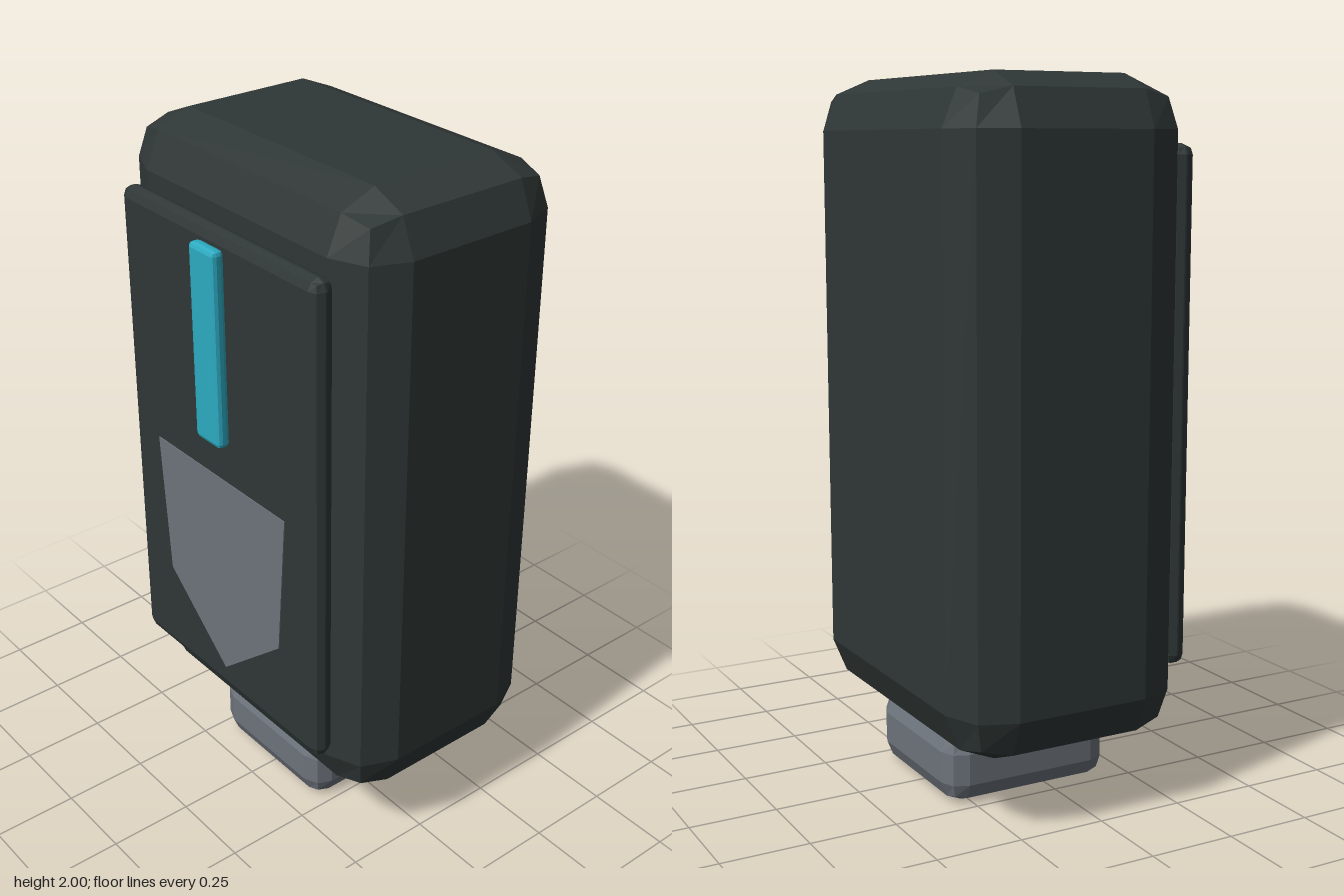
import * as THREE from 'three';
import { RoundedBoxGeometry } from 'three/addons/geometries/RoundedBoxGeometry.js';

const material = (name, color) => {
  const m = new THREE.MeshStandardMaterial({ color });
  m.name = name;
  return m;
};

// Box between two corners with a faceted two-step bevel on every edge
function bevelBox(name, min, max, radius, mat) {
  const size = max.map((v, i) => v - min[i]);
  const geometry = new RoundedBoxGeometry(...size, 1, radius);
  geometry.clearGroups();
  geometry.computeVertexNormals(); // unshared corners give flat facets
  const mesh = new THREE.Mesh(geometry, mat);
  mesh.name = name;
  mesh.position.set(...max.map((v, i) => (v + min[i]) / 2));
  return mesh;
}

export function createModel() {
  const dark = material('dark casing', 0x2f3736);
  const grey = material('grey metal', 0x6d737b);
  const cyan = material('cyan light', 0x2dabc2);

  const model = new THREE.Group();
  model.name = 'device';

  // Casing, raised front panel, light strip and foot
  model.add(
    bevelBox('casing', [-0.525, 0.19, -0.413], [0.525, 2, 0.265], 0.145, dark),
    bevelBox('frontPanel', [-0.42, 0.37, 0.265], [0.42, 1.82, 0.33], 0.03, dark),
    bevelBox('lightStrip', [-0.055, 1.22, 0.328], [0.055, 1.785, 0.366], 0.013, cyan),
    bevelBox('foot', [-0.24, 0, -0.328], [0.24, 0.21, 0.185], 0.06, grey)
  );

  // Thin shield plate on the panel
  const outline = [[-0.29, 1.1], [-0.257, 0.67], [0, 0.45], [0.257, 0.67], [0.29, 1.1]];
  const shape = new THREE.Shape(outline.map(([x, y]) => new THREE.Vector2(x, y)));
  const shield = new THREE.Mesh(
    new THREE.ExtrudeGeometry(shape, { depth: 0.004, bevelEnabled: false }), grey);
  shield.name = 'shieldPlate';
  shield.position.z = 0.329;
  model.add(shield);

  return model;
}
